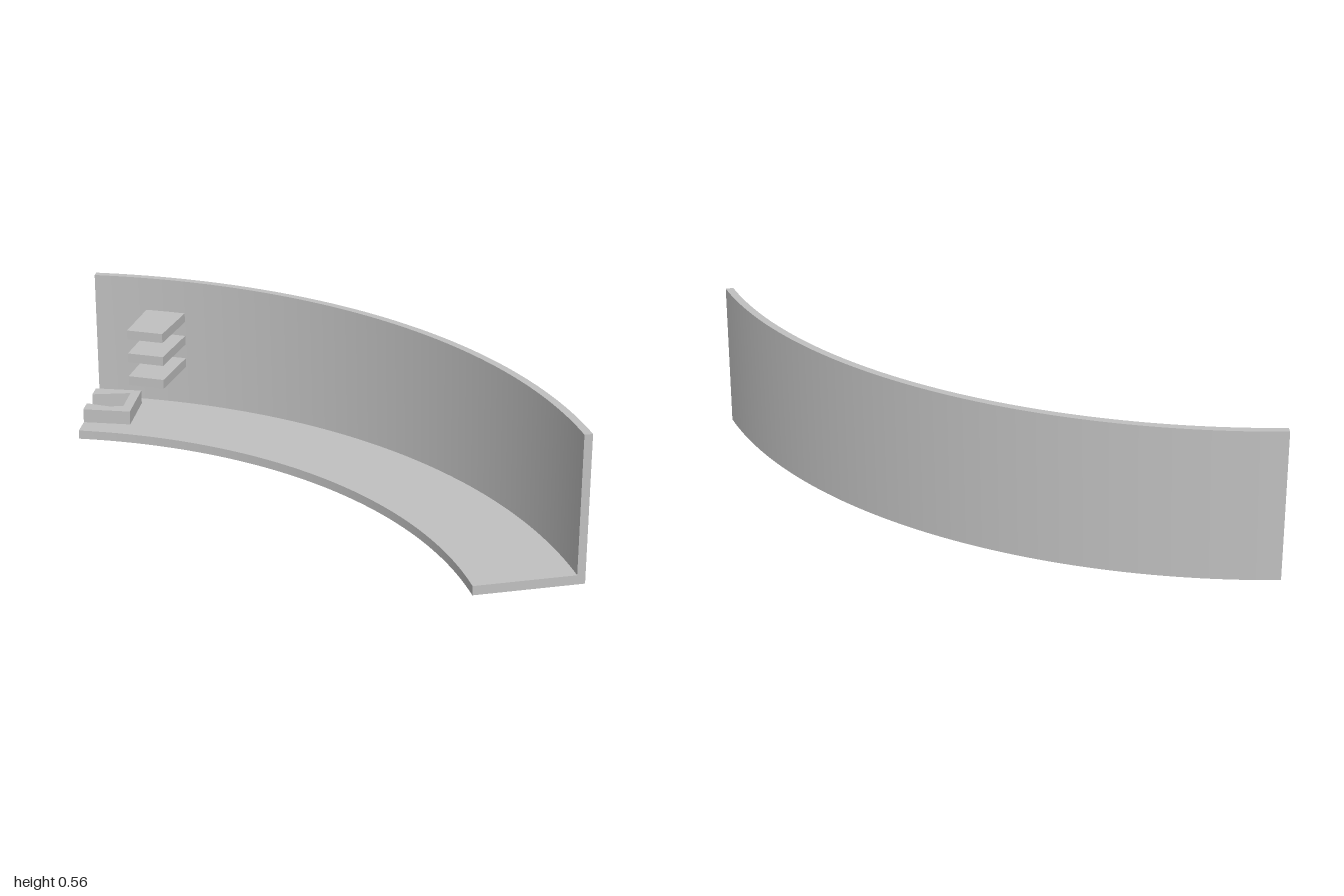
import * as THREE from 'three';
import { toCreasedNormals } from 'three/addons/utils/BufferGeometryUtils.js';

// Arc shared by floor and wall: centre, radii, sweep and heights
const CX = -1, CZ = 1.358;
const R_IN = 1.728, R_WALL = 2.098, R_OUT = 2.128;
const SWEEP = THREE.MathUtils.degToRad(70);
const FLOOR = 0.035, TOP = 0.555;

const grey = new THREE.MeshStandardMaterial({ color: 0xc0c0c0, side: THREE.DoubleSide });
grey.name = 'plain grey';

function add(group, name, geometry) {
  const mesh = new THREE.Mesh(geometry, grey);
  mesh.name = name;
  group.add(mesh);
  return mesh;
}

// Upright prism from a plan outline of [x, z] points
function prism(plan, y, height) {
  const shape = new THREE.Shape(plan.map(([x, z]) => new THREE.Vector2(x, -z)));
  return new THREE.ExtrudeGeometry(shape, { depth: height, bevelEnabled: false })
    .rotateX(-Math.PI / 2).translate(0, y, 0);
}

export function createModel() {
  const model = new THREE.Group();
  model.name = 'curvedWallSegment';

  // L-shaped section swept round the arc: floor strip and outer wall
  const section = [
    [R_IN, 0], [R_OUT, 0], [R_OUT, TOP], [R_WALL, TOP], [R_WALL, FLOOR], [R_IN, FLOOR],
  ].map(([r, y]) => new THREE.Vector2(r, y));
  const shell = new THREE.Group();
  shell.name = 'floorAndWall';
  shell.position.set(CX, 0, CZ);
  model.add(shell);
  const sweep = new THREE.LatheGeometry([...section, section[0].clone()], 64, Math.PI - SWEEP, SWEEP);
  add(shell, 'sweptSection', toCreasedNormals(sweep, 0.6));

  // Flat faces closing both ends of the sweep
  const cap = new THREE.ShapeGeometry(new THREE.Shape(section));
  add(shell, 'rightEnd', cap.clone().scale(-1, 1, 1).rotateY(-Math.PI / 2));
  add(shell, 'leftEnd', cap.clone().rotateY(Math.PI / 2 - SWEEP));

  // Low block with a dovetail notch open at the right end
  add(model, 'notchedBlock', prism([
    [-1, -0.68], [-0.812, -0.68], [-0.812, -0.456], [-1, -0.456],
    [-1, -0.52], [-0.85, -0.487], [-0.85, -0.648], [-1, -0.615],
  ], FLOOR, 0.055));

  // Three shelves standing out from the wall
  const shelfPlan = [[-0.79, -0.735], [-0.63, -0.712], [-0.674, -0.463], [-0.818, -0.486]];
  for (const y of [0.192, 0.288, 0.384]) {
    add(model, 'shelf', prism(shelfPlan, y, 0.037));
  }
  return model;
}
